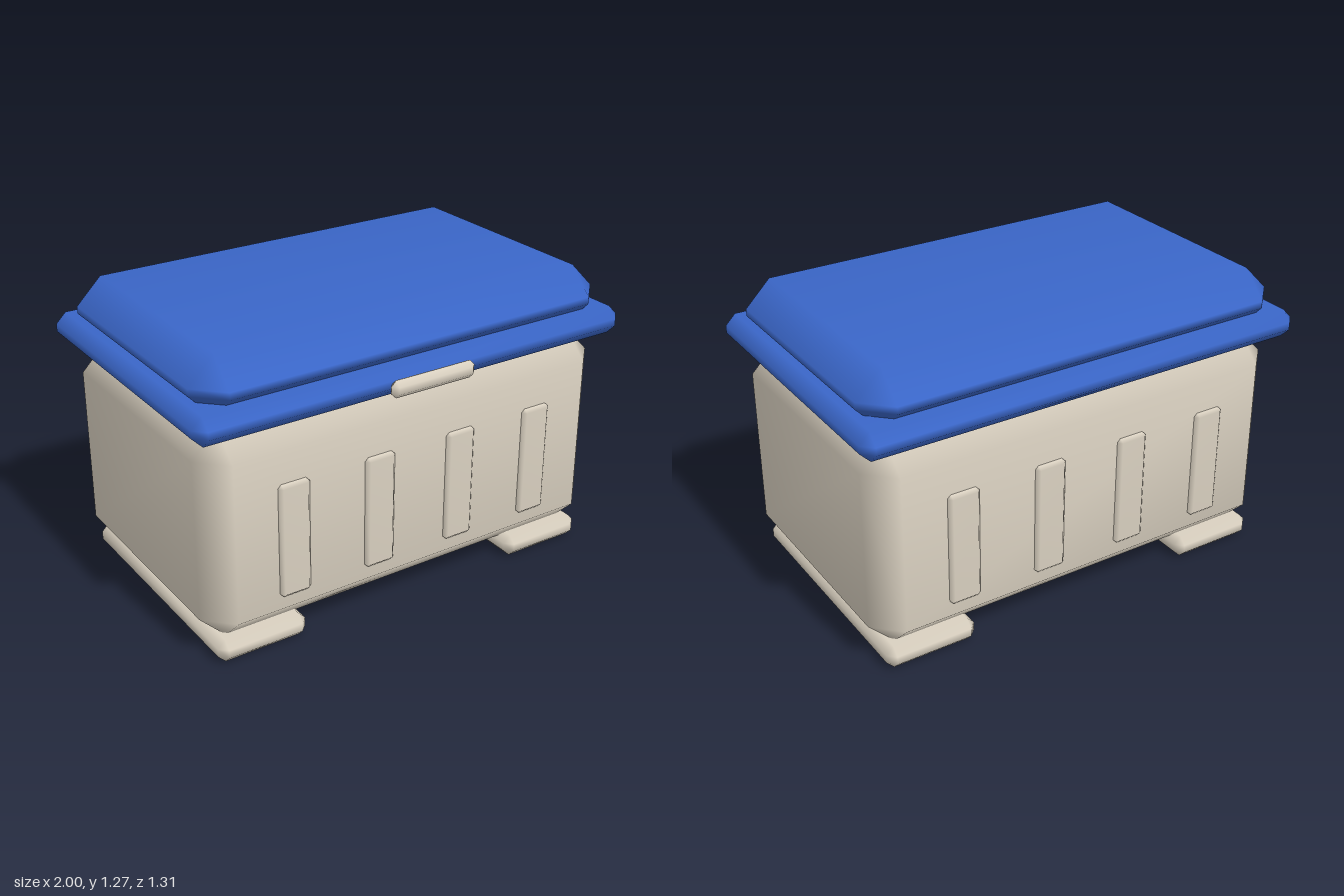
import * as THREE from 'three';
import { mergeVertices } from 'three/addons/utils/BufferGeometryUtils.js';
import { ConvexGeometry } from 'three/addons/geometries/ConvexGeometry.js';

// Box with 45 degree bevels of width c and soft shading, given by its bounds
function bevelBox(name, material, [x0, x1], [y0, y1], [z0, z1], c) {
  const half = [(x1 - x0) / 2, (y1 - y0) / 2, (z1 - z0) / 2];
  const points = [];
  for (const sx of [-1, 1]) for (const sy of [-1, 1]) for (const sz of [-1, 1]) {
    for (let axis = 0; axis < 3; axis++) {
      const p = half.map((h, i) => (i === axis ? h : h - c));
      points.push(new THREE.Vector3(sx * p[0], sy * p[1], sz * p[2]));
    }
  }
  let geometry = new ConvexGeometry(points);
  geometry.deleteAttribute('normal');
  geometry = mergeVertices(geometry, 1e-5);
  geometry.computeVertexNormals();
  const mesh = new THREE.Mesh(geometry, material);
  mesh.name = name;
  mesh.position.set((x0 + x1) / 2, (y0 + y1) / 2, (z0 + z1) / 2);
  return mesh;
}

export function createModel() {
  const model = new THREE.Group();
  model.name = 'coolBox';
  const cream = new THREE.MeshStandardMaterial({ name: 'cream', color: 0xd9d0c0 });
  const blue = new THREE.MeshStandardMaterial({ name: 'blue', color: 0x3a66c8 });

  // Main tub
  model.add(bevelBox('body', cream, [-0.95, 0.95], [0.08, 0.98], [-0.605, 0.565], 0.11));

  // Lid: wide rim and raised top
  model.add(bevelBox('lidRim', blue, [-1, 1], [0.98, 1.1], [-0.655, 0.612], 0.044));
  model.add(bevelBox('lidTop', blue, [-0.95, 0.95], [1.02, 1.27], [-0.605, 0.565], 0.11));

  // Latch on the front of the rim
  model.add(bevelBox('latch', cream, [-0.195, 0.195], [0.993, 1.065], [0.608, 0.655], 0.021));

  // Runner feet
  for (const side of [-1, 1]) {
    const xs = [side * 0.51, side * 0.905].sort((a, b) => a - b);
    model.add(bevelBox(side > 0 ? 'leftFoot' : 'rightFoot', cream, xs, [0, 0.1], [-0.58, 0.54], 0.032));
  }

  // Upright ribs on front and back
  for (const x of [-0.588, -0.197, 0.193, 0.583]) {
    const xs = [x - 0.068, x + 0.068];
    model.add(bevelBox('frontRib', cream, xs, [0.247, 0.735], [0.545, 0.585], 0.014));
    model.add(bevelBox('backRib', cream, xs, [0.247, 0.735], [-0.625, -0.585], 0.014));
  }
  return model;
}
